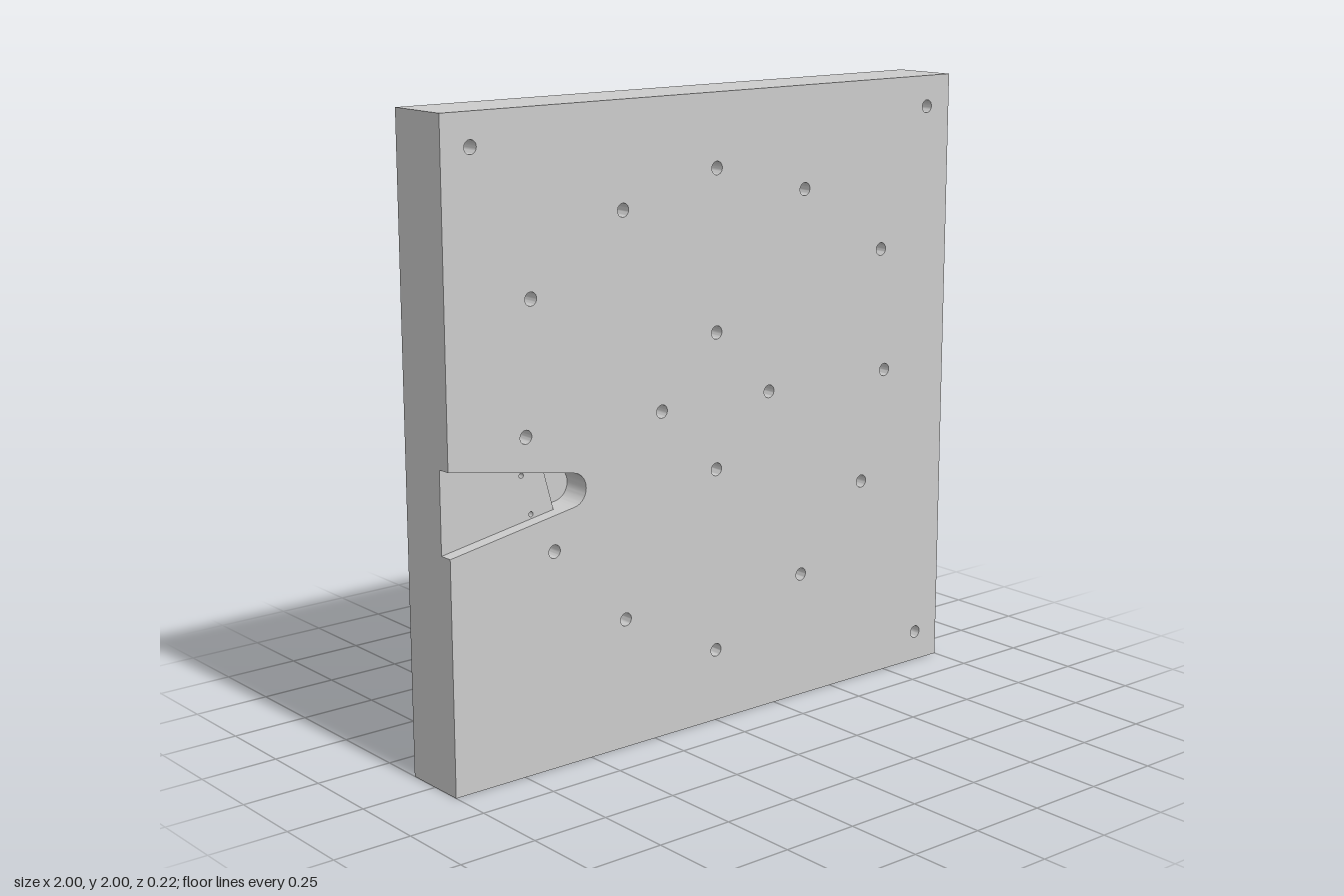
import * as THREE from 'three';
import { mergeGeometries, toCreasedNormals } from 'three/addons/utils/BufferGeometryUtils.js';

const V = (x, y) => new THREE.Vector2(x, y);
const FRONT = 0.11, BACK = -0.11;     // plate faces
const RECESS = 0.066, POCKET = 0.015; // slot floor and deeper pocket floor
const BLIND = 0.0;                    // bottom of the blind holes

// Clockwise circle, so that walls built on it face the hole's axis
function circle([x, y], r, n = 32) {
  return Array.from({ length: n }, (_, i) => {
    const a = -i / n * Math.PI * 2;
    return V(x + r * Math.cos(a), y + r * Math.sin(a));
  });
}

// Flat face at height z with optional holes
function face(points, z, holes = [], flip = false) {
  const shape = new THREE.Shape(points);
  shape.holes = holes.map(h => new THREE.Path(h));
  const g = new THREE.ShapeGeometry(shape);
  if (flip) g.rotateY(Math.PI);
  return g.translate(0, 0, z).deleteAttribute('uv').toNonIndexed();
}

// Strip of walls along a path, facing the right-hand side of travel
function wall(points, z0, z1, closed = false) {
  const pos = [];
  const n = closed ? points.length : points.length - 1;
  for (let i = 0; i < n; i++) {
    const a = points[i], b = points[(i + 1) % points.length];
    pos.push(a.x, a.y, z0, b.x, b.y, z0, b.x, b.y, z1);
    pos.push(a.x, a.y, z0, b.x, b.y, z1, a.x, a.y, z1);
  }
  const g = new THREE.BufferGeometry();
  g.setAttribute('position', new THREE.Float32BufferAttribute(pos, 3));
  g.computeVertexNormals();
  return toCreasedNormals(g, 0.6);
}

export function createModel() {
  const group = new THREE.Group();
  const material = new THREE.MeshStandardMaterial({ color: 0xcccccc });
  const add = (name, parts) => {
    const mesh = new THREE.Mesh(mergeGeometries(parts), material);
    mesh.name = name;
    group.add(mesh);
  };

  // Tapered slot with a round tip, entering from the x = -1 edge
  const cx = -0.563, cy = 0.857, r = 0.053, taper = 0.168;
  const half = x => (r + (cx - x) * Math.sin(taper)) / Math.cos(taper);
  const upper = x => V(x, cy + half(x));
  const lower = x => V(x, cy - half(x));
  const stepTop = upper(-0.635), stepBottom = lower(-0.6);
  const tip = [];
  const sweep = Math.PI / 2 - taper;
  for (let i = 0; i <= 24; i++) {
    const a = sweep * (1 - i / 12);
    tip.push(V(cx + r * Math.cos(a), cy + r * Math.sin(a)));
  }
  const mouthTop = upper(-1), mouthBottom = lower(-1);
  const pocket = [stepTop, ...tip, stepBottom];

  // Hole positions
  const corners = [[-0.9, 1.9], [0.9, 1.9], [0.9, 0.1]];
  const blind = [[0, 1.77], [0, 1.263], [0, 0.828], [0, 0.235]];
  for (const [x, y] of [[0.363, 1.675], [0.702, 1.45], [0.218, 1.046],
    [0.727, 1.046], [0.63, 0.682], [0.363, 0.414]]) {
    blind.push([x, y], [-x, y]);
  }
  const throughRings = corners.map(c => circle(c, 0.021));
  const blindRings = blind.map(c => circle(c, 0.021));
  const pinRings = [[-0.715, 0.92], [-0.682, 0.797]].map(c => circle(c, 0.008, 16));

  // Plate: front, back and edges
  const square = [V(-1, 0), V(1, 0), V(1, 2), V(-1, 2)];
  const outline = [...square, mouthTop, ...pocket, mouthBottom];
  const mirrored = pts => pts.map(p => V(-p.x, p.y)).reverse();
  add('plate', [
    face(outline, FRONT, [...throughRings, ...blindRings]),
    face(mirrored(square), BACK, throughRings.map(mirrored), true),
    wall([...square, mouthTop], BACK, FRONT),
    wall([mouthTop, mouthBottom], BACK, RECESS),
    wall([mouthBottom, square[0]], BACK, FRONT),
  ]);

  // Slot: shallow floor, side walls, step and deeper pocket at the tip
  add('slot', [
    face([mouthTop, mouthBottom, stepBottom, stepTop], RECESS, pinRings),
    wall([mouthTop, stepTop], RECESS, FRONT),
    wall([stepBottom, mouthBottom], RECESS, FRONT),
    wall(pocket, POCKET, FRONT),
    wall([stepBottom, stepTop], POCKET, RECESS),
    face([...pocket].reverse(), POCKET),
  ]);

  // Holes
  add('cornerHoles', throughRings.map(p => wall(p, BACK, FRONT, true)));
  const blindHole = (p, z0, z1) => [wall(p, z0, z1, true), face([...p].reverse(), z0)];
  add('blindHoles', blindRings.flatMap(p => blindHole(p, BLIND, FRONT)));
  add('pinHoles', pinRings.flatMap(p => blindHole(p, 0.03, RECESS)));

  return group;
}
